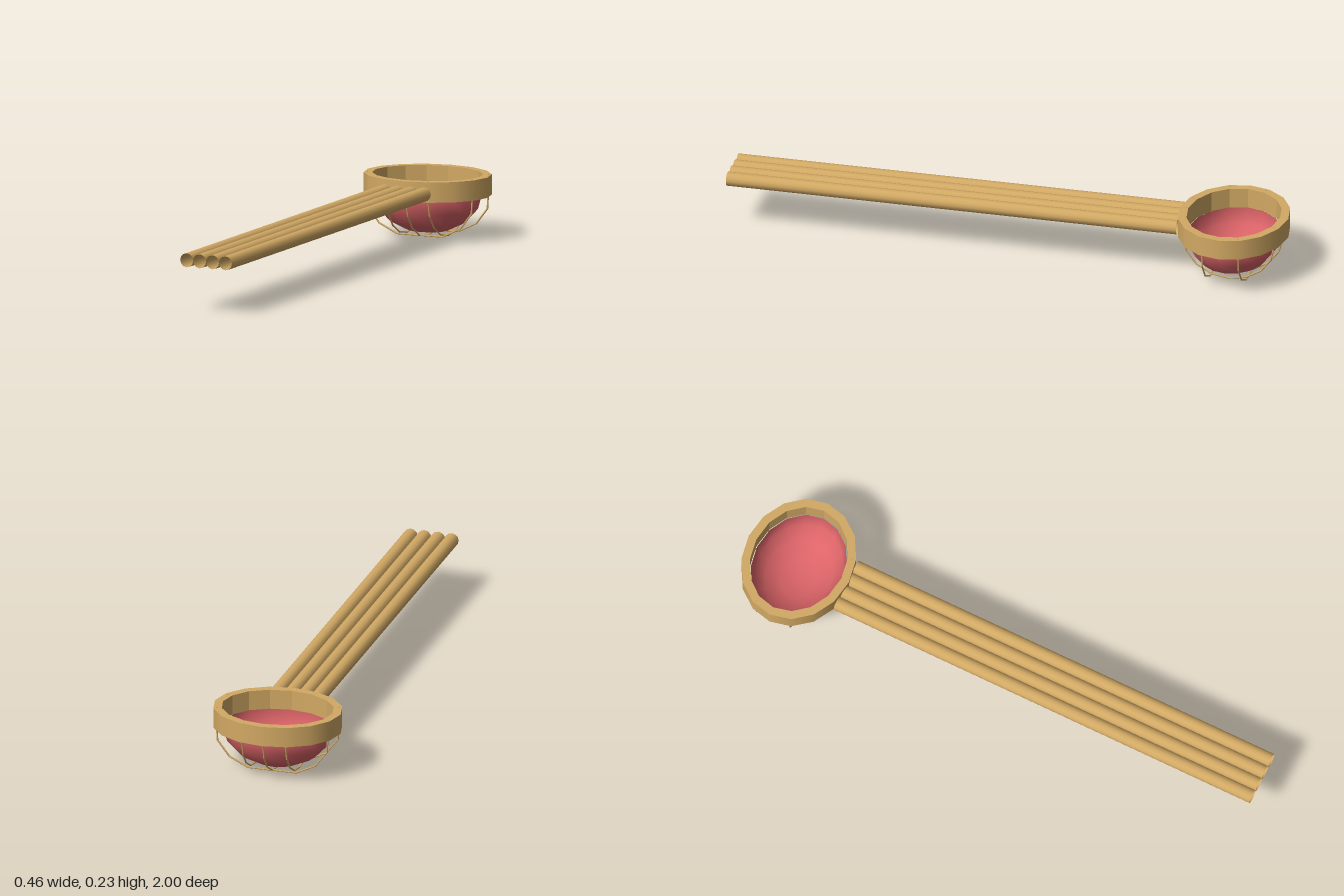
import * as THREE from 'three';

const TAN = 0xd2a964, RED = 0xdc6468;
const HEAD_Z = -0.805, RIM_Y = 0.153, TOP_Y = 0.225;

const tan = new THREE.MeshStandardMaterial({ color: TAN, side: THREE.DoubleSide });
const tanFlat = new THREE.MeshStandardMaterial({ color: TAN, side: THREE.DoubleSide, flatShading: true });
const red = new THREE.MeshStandardMaterial({ color: RED, side: THREE.DoubleSide });

function addMesh(parent, name, geometry, material) {
  const mesh = new THREE.Mesh(geometry, material);
  mesh.name = name;
  parent.add(mesh);
  return mesh;
}

// Thin wire made of straight rods between points
function addWire(parent, name, points) {
  const wire = new THREE.Group();
  wire.name = name;
  const up = new THREE.Vector3(0, 1, 0);
  for (let i = 0; i < points.length - 1; i++) {
    const dir = points[i + 1].clone().sub(points[i]);
    const length = dir.length();
    const rod = addMesh(wire, 'wireRod', new THREE.CylinderGeometry(0.003, 0.003, length + 0.002, 6), tan);
    rod.position.copy(points[i]).addScaledVector(dir, 0.5);
    rod.quaternion.setFromUnitVectors(up, dir.normalize());
  }
  parent.add(wire);
}

// Oval hoop: smooth outer wall, faceted inner wall, flat top and bottom faces
function createRim() {
  const rim = new THREE.Group();
  rim.name = 'rim';
  const h = TOP_Y - RIM_Y, midY = (TOP_Y + RIM_Y) / 2;
  const walls = [['rimOuterWall', 0.23, 0.195, tan], ['rimInnerWall', 0.2, 0.165, tanFlat]];
  for (const [name, rx, rz, material] of walls) {
    const wall = addMesh(rim, name, new THREE.CylinderGeometry(1, 1, h, 16, 1, true).scale(rx, 1, rz), material);
    wall.position.y = midY;
  }
  const oval = (rx, rz) => Array.from({ length: 16 }, (_, i) => {
    const a = i * Math.PI / 8;
    return new THREE.Vector2(rx * Math.cos(a), rz * Math.sin(a));
  });
  const face = new THREE.Shape(oval(0.23, 0.195));
  face.holes.push(new THREE.Path(oval(0.2, 0.165)));
  const top = addMesh(rim, 'rimTop', new THREE.ShapeGeometry(face), tan);
  top.rotation.x = -Math.PI / 2;
  top.position.y = TOP_Y;
  const bottom = addMesh(rim, 'rimBottom', new THREE.ShapeGeometry(face), tan);
  bottom.rotation.x = Math.PI / 2;
  bottom.position.y = RIM_Y;
  return rim;
}

export function createModel() {
  const model = new THREE.Group();
  model.name = 'cagedScoop';

  const head = new THREE.Group();
  head.name = 'head';
  head.position.z = HEAD_Z;
  model.add(head);
  head.add(createRim());

  // Open bowl: lower half of a squashed sphere
  const bowl = addMesh(head, 'bowl',
    new THREE.SphereGeometry(1, 16, 4, 0, Math.PI * 2, Math.PI / 2, Math.PI / 2), red);
  bowl.scale.set(0.196, 0.14, 0.162);
  bowl.position.y = RIM_Y + 0.002;

  // Cage wires running front to back
  for (const x of [-0.08, 0, 0.08]) {
    const s = x === 0 ? 1 : 0.94;
    const points = [new THREE.Vector3(x, TOP_Y, 0.175 * s)];
    for (let i = 0; i <= 8; i++) {
      const a = i * Math.PI / 8;
      points.push(new THREE.Vector3(x, RIM_Y - (RIM_Y - 0.004) * (s === 1 ? 1 : 0.955) * Math.sin(a), 0.175 * s * Math.cos(a)));
    }
    points.push(new THREE.Vector3(x, TOP_Y, -0.175 * s));
    addWire(head, 'lengthwiseWire', points);
  }

  // Cage wires running side to side
  const half = [[0.203, TOP_Y], [0.203, 0.15], [0.2, 0.104], [0.157, 0.048], [0.088, 0.015]];
  for (const z of [-0.065, 0.065]) {
    const left = half.map(([x, y]) => new THREE.Vector3(x, y, z));
    const right = half.map(([x, y]) => new THREE.Vector3(-x, y, z)).reverse();
    addWire(head, 'crosswiseWire', [...left, ...right]);
  }

  // Handle: four open tubes side by side
  const handle = new THREE.Group();
  handle.name = 'handle';
  model.add(handle);
  for (let i = 0; i < 4; i++) {
    const tube = addMesh(handle, 'handleTube',
      new THREE.CylinderGeometry(0.025, 0.025, 1.62, 12, 1, true).rotateX(Math.PI / 2), tan);
    tube.position.set(-0.075 + i * 0.05, 0.183, 0.19);
  }
  return model;
}
